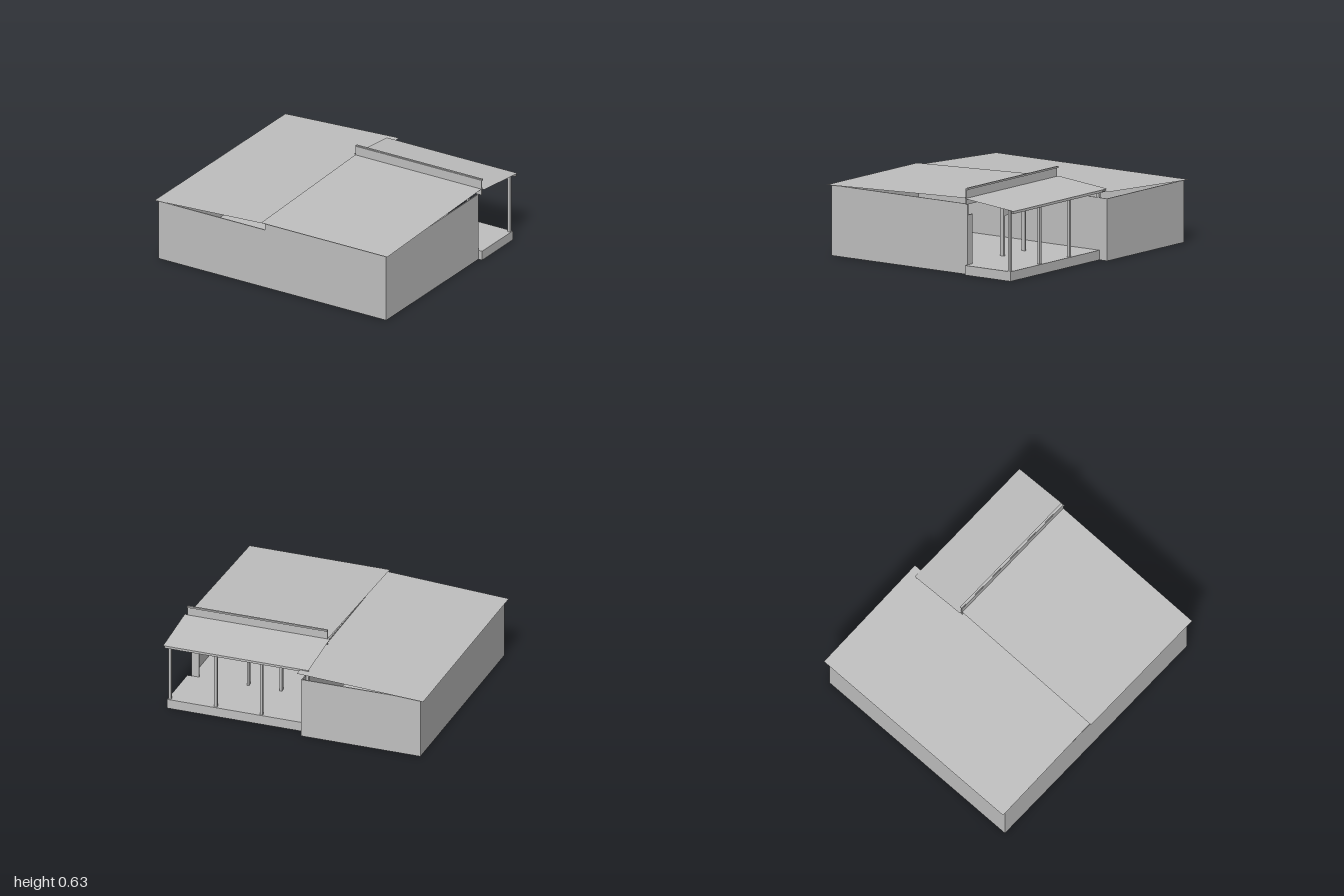
import * as THREE from 'three';

export function createModel() {
  const house = new THREE.Group();
  house.name = 'house';
  const grey = new THREE.MeshStandardMaterial({ color: 0xc0c0c0, side: THREE.DoubleSide });
  grey.name = 'plain grey';

  // Box given by its limits on each axis
  function block(name, x0, x1, y0, y1, z0, z1) {
    const mesh = new THREE.Mesh(new THREE.BoxGeometry(x1 - x0, y1 - y0, z1 - z0), grey);
    mesh.position.set((x0 + x1) / 2, (y0 + y1) / 2, (z0 + z1) / 2);
    mesh.name = name;
    house.add(mesh);
  }

  // Thin sloping roof sheet; height(x, z) gives the level at each corner
  function roof(name, x0, x1, z0, z1, height) {
    const geometry = new THREE.PlaneGeometry(x1 - x0, z1 - z0);
    geometry.rotateX(-Math.PI / 2);
    geometry.translate((x0 + x1) / 2, 0, (z0 + z1) / 2);
    const p = geometry.attributes.position;
    for (let i = 0; i < p.count; i++) p.setY(i, height(p.getX(i), p.getZ(i)));
    geometry.computeVertexNormals();
    const mesh = new THREE.Mesh(geometry, grey);
    mesh.name = name;
    house.add(mesh);
  }

  const t = 0.008; // wall thickness
  const inner = -0.065; // line between the two wings

  // Low wing, open under its roof
  block('lowWingFloor', -0.97, inner, 0, 0.01, -0.845, 0.845);
  block('lowWingFrontWall', -0.97, inner, 0, 0.45, 0.845 - t, 0.845);
  block('lowWingBackWall', -0.97, inner, 0, 0.45, -0.845, -0.845 + t);
  block('lowWingSideWall', -0.97, -0.97 + t, 0, 0.45, -0.845, 0.845);
  block('lowWingPorchWall', inner - t, inner, 0, 0.45, -0.845, -0.37);

  // High wing, open toward the porch
  block('highWingFloor', inner, 0.95, 0, 0.07, -0.37, 0.845);
  block('highWingFrontWall', inner, 0.95, 0, 0.51, 0.845 - t, 0.845);
  block('highWingSideWall', 0.95 - t, 0.95, 0, 0.51, -0.37, 0.845);
  block('dividingWall', inner - t, inner, 0, 0.51, -0.37, 0.845);

  // Piers and lintel of the porch opening
  block('endPier', 0.89, 0.95, 0.07, 0.43, -0.37, -0.36);
  block('doorLintel', 0.26, 0.52, 0.36, 0.51, -0.37, -0.36);
  for (const x of [0.27, 0.52]) block('doorJamb', x - 0.008, x + 0.008, 0.07, 0.51, -0.37, -0.34);

  // Porch floor, posts and edge beam
  block('porchFloor', inner, 0.98, 0, 0.07, -0.775, -0.37);
  for (let i = 0; i < 4; i++) {
    const x = -0.08 + i * 0.348;
    block('porchPost', x - 0.01, x + 0.01, i ? 0.07 : 0, 0.512, -0.767, -0.747);
  }
  block('porchBeam', -0.105, 0.99, 0.492, 0.51, -0.805, -0.79);

  // Upright band between the roofs with its small cap
  block('upperBand', -0.09, 0.975, 0.51, 0.625, -0.38, -0.37);
  block('bandCap', -0.09, 0.975, 0.618, 0.63, -0.39, -0.375);

  // Roof sheets
  roof('lowWingRoof', -1, -0.04, -0.87, 0.855, (x) => 0.452 + (x + 1) * 0.055);
  roof('highWingRoof', -0.09, 0.975, -0.375, 0.87, (x, z) => 0.512 + (0.87 - z) * 0.036);
  roof('porchRoof', -0.107, 0.997, -0.812, -0.375, (x, z) => 0.513 + (z + 0.812) * 0.1);

  return house;
}
